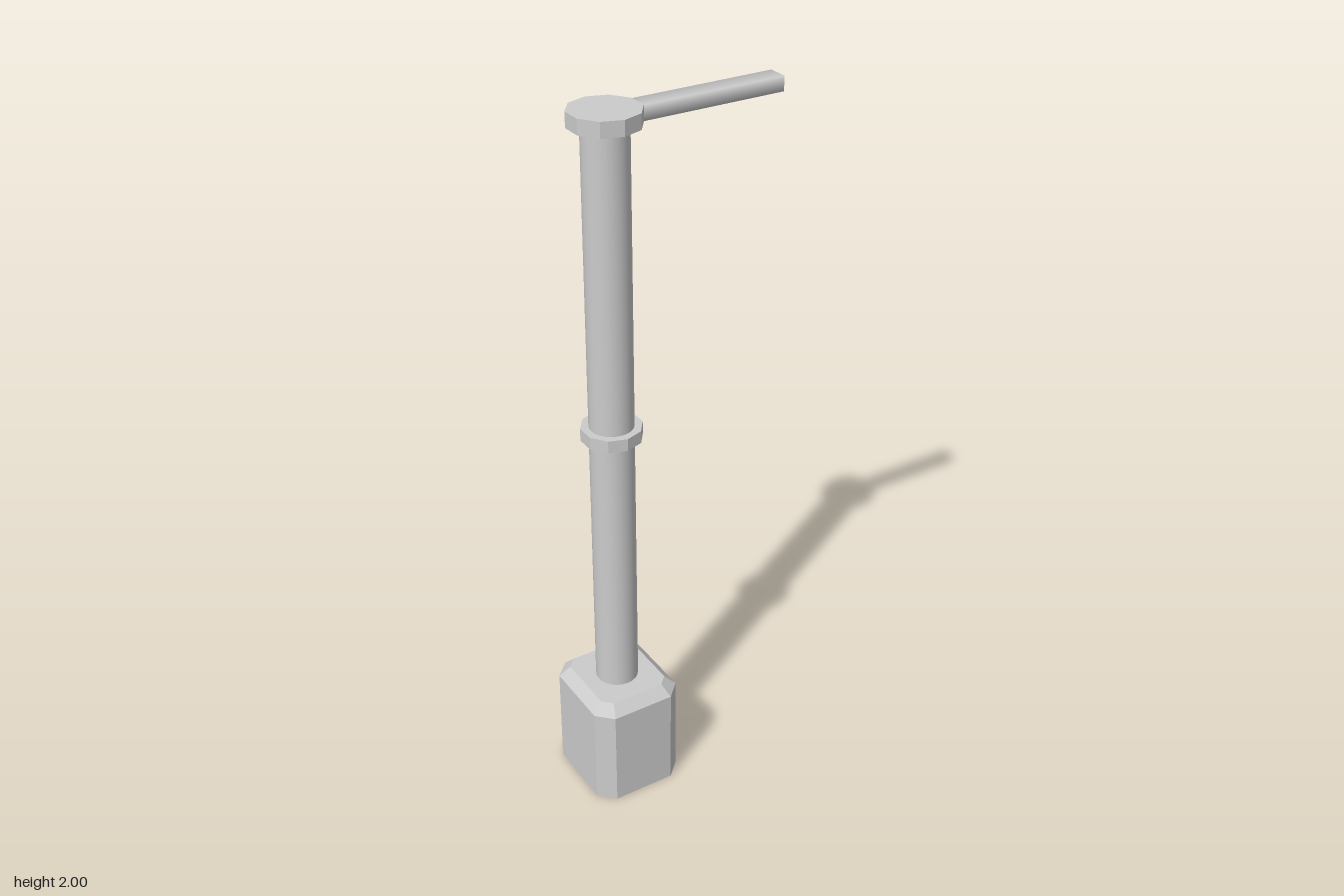
import * as THREE from 'three';

const CX = -0.179, CZ = -0.001;

export function createModel() {
  const group = new THREE.Group();
  const smooth = new THREE.MeshStandardMaterial({ color: 0xcccccc });
  const flat = new THREE.MeshStandardMaterial({ color: 0xcccccc, flatShading: true });

  const add = (name, geometry, material, x, y, z) => {
    const mesh = new THREE.Mesh(geometry, material);
    mesh.name = name;
    mesh.position.set(x, y, z);
    group.add(mesh);
  };

  // Upright cylinder between two heights, on the pole's axis
  const column = (name, radius, y0, y1, sides, material) =>
    add(name, new THREE.CylinderGeometry(radius, radius, y1 - y0, sides), material, CX, (y0 + y1) / 2, CZ);

  // Base block with cut corners and a sloping upper rim
  add('base', baseGeometry(), flat, CX, 0, CZ);

  // Pole, collar and ten-sided cap
  column('pole', 0.06, 0.32, 1.965, 24, smooth);
  column('collar', 0.083, 1.115, 1.15, 10, flat);
  column('cap', 0.0935, 1.96, 2, 10, flat);

  // Square arm with softly shaded long sides
  const arm = new THREE.CylinderGeometry(Math.SQRT1_2, Math.SQRT1_2, 1, 4);
  arm.rotateY(Math.PI / 4).rotateZ(Math.PI / 2).scale(0.42, 0.039, 0.056);
  add('arm', arm, smooth, 0.1, 1.9795, CZ);

  // Thin strip under the arm
  add('armStrip', new THREE.BoxGeometry(0.37, 0.01, 0.024), flat, 0.105, 1.9585, CZ);

  return group;
}

// Stacked eight-sided rings: half width, half depth, corner cut, height
function baseGeometry() {
  const rings = [
    [0.1335, 0.1455, 0.043, 0],
    [0.1335, 0.1455, 0.043, 0.3],
    [0.1035, 0.1155, 0.026, 0.33],
  ];
  const positions = [];
  for (const [w, d, c, y] of rings) {
    const outline = [
      [w, d - c], [w, c - d], [w - c, -d], [c - w, -d],
      [-w, c - d], [-w, d - c], [c - w, d], [w - c, d],
    ];
    for (const [x, z] of outline) positions.push(x, y, z);
  }
  const index = [];
  for (let r = 0; r < 2; r++) {
    for (let i = 0; i < 8; i++) {
      const a = r * 8 + i, b = r * 8 + (i + 1) % 8;
      index.push(a, b, b + 8, a, b + 8, a + 8);
    }
  }
  // Bottom and top faces
  for (let i = 1; i < 7; i++) {
    index.push(0, i + 1, i, 16, 16 + i, 17 + i);
  }
  const geometry = new THREE.BufferGeometry();
  geometry.setAttribute('position', new THREE.Float32BufferAttribute(positions, 3));
  geometry.setIndex(index);
  const faceted = geometry.toNonIndexed();
  faceted.computeVertexNormals();
  return faceted;
}
